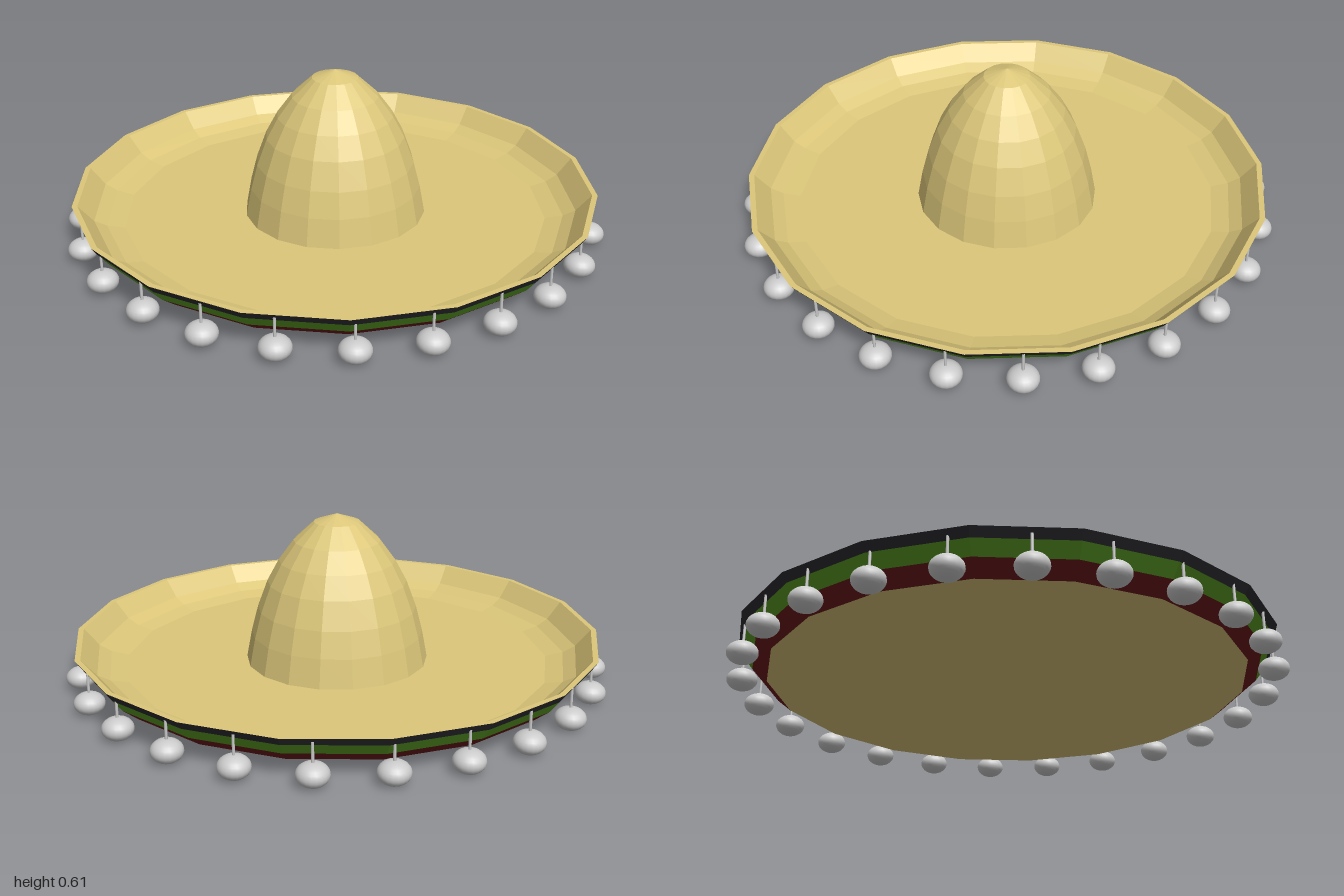
import * as THREE from 'three';

const SIDES = 18;

const flat = (color) => new THREE.MeshStandardMaterial({ color, flatShading: true });

// Faceted revolved surface; the points run so that faces look outward
function turned(name, profile, material) {
  const points = profile.map(([r, y]) => new THREE.Vector2(r, y));
  const geometry = new THREE.LatheGeometry(points, SIDES, Math.PI / SIDES);
  const mesh = new THREE.Mesh(geometry, material);
  mesh.name = name;
  return mesh;
}

export function createModel() {
  const hat = new THREE.Group();
  hat.name = 'wideBrimHat';
  const straw = flat(0xdcc77a);

  // Crown
  hat.add(turned('crown', [
    [0.34, 0.06], [0.32, 0.165], [0.295, 0.26], [0.258, 0.36],
    [0.215, 0.44], [0.16, 0.515], [0.085, 0.585], [0, 0.615],
  ], straw));

  // Brim: upturned lip and dished inside, then the flat underside
  hat.add(turned('brimTop', [
    [0.975, 0.165], [0.955, 0.165], [0.9, 0.1], [0.855, 0.075], [0.79, 0.06], [0.34, 0.06],
  ], straw));
  hat.add(turned('brimUnderside', [[0, 0.045], [0.865, 0.045]], straw));

  // Coloured bands around the outside of the brim
  hat.add(turned('redBand', [[0.865, 0.045], [0.92, 0.09]], flat(0x6b1818)));
  hat.add(turned('greenBand', [[0.92, 0.09], [0.955, 0.135]], flat(0x5a9a24)));
  hat.add(turned('blackBand', [[0.955, 0.135], [0.975, 0.165]], flat(0x2a2a2e)));

  // Pompoms hanging on short strings
  const grey = new THREE.MeshStandardMaterial({ color: 0xcccccc });
  const ball = new THREE.SphereGeometry(0.055, 20, 14).scale(1, 0.73, 1);
  const cord = new THREE.CylinderGeometry(0.005, 0.005, 0.075, 8);
  const count = 24;
  for (let i = 0; i < count; i++) {
    const angle = THREE.MathUtils.degToRad(6) + (i / count) * Math.PI * 2;
    const tassel = new THREE.Group();
    tassel.name = 'tassel';
    const pompom = new THREE.Mesh(ball, grey);
    pompom.name = 'pompom';
    pompom.position.y = 0.042;
    const string = new THREE.Mesh(cord, grey);
    string.name = 'string';
    string.position.y = 0.1125;
    tassel.add(pompom, string);
    tassel.position.set(Math.sin(angle) * 0.95, 0, Math.cos(angle) * 0.95);
    tassel.rotation.y = angle;
    hat.add(tassel);
  }
  return hat;
}
